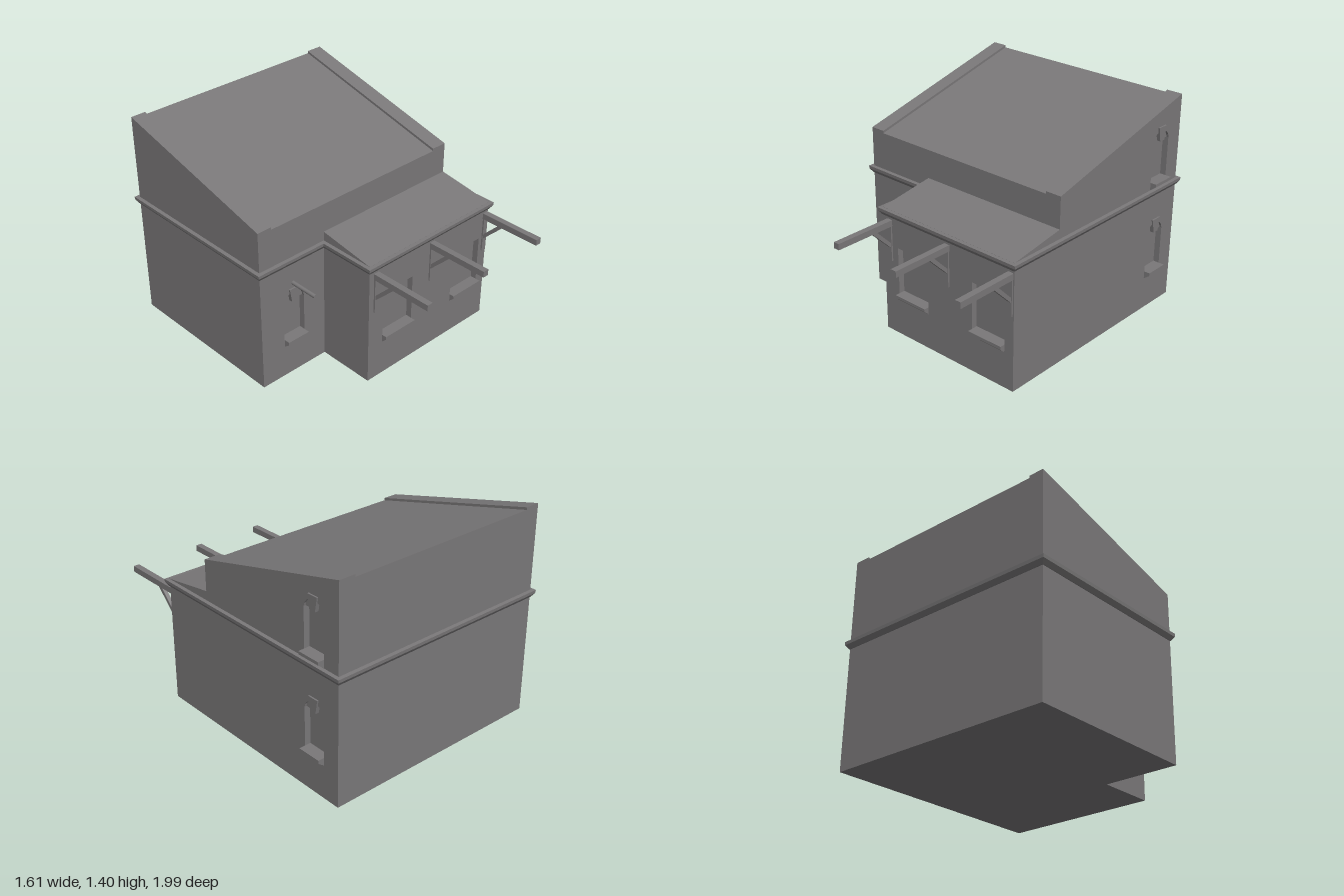
import * as THREE from 'three';

const stone = new THREE.MeshStandardMaterial({ color: 0x7a7879 });
stone.name = 'grey stone';

// Main dimensions
const L = -0.783, R = 0.758, BACK = -0.967, MID = 0.195, FRONT = 0.58, WING = -0.285;
const LOW = 0.8, DEEP = 0.04;

function add(parent, name, geometry, x = 0, y = 0, z = 0) {
  const mesh = new THREE.Mesh(geometry, stone);
  mesh.name = name;
  mesh.position.set(x, y, z);
  parent.add(mesh);
  return mesh;
}

const vecs = (pts) => pts.map(([x, y]) => new THREE.Vector2(x, y));

function extrude(pts, depth, holes = []) {
  const shape = new THREE.Shape(vecs(pts));
  for (const h of holes) shape.holes.push(new THREE.Path(vecs(h)));
  return new THREE.ExtrudeGeometry(shape, { depth, bevelEnabled: false });
}

// Extrudes a side profile, given as [z, y] points, from x0 to x1
function slab(parent, name, profile, x0, x1) {
  const g = extrude(profile.map(([z, y]) => [-z, y]), x1 - x0).rotateY(Math.PI / 2);
  return add(parent, name, g, x0);
}

function box(parent, name, w, h, d, x, y, z) {
  return add(parent, name, new THREE.BoxGeometry(w, h, d), x, y, z);
}

// Half-round arch from right to left
function arch(u, spring, r, rise) {
  const pts = [];
  for (let i = 0; i <= 10; i++) {
    const a = (i / 10) * Math.PI;
    pts.push([u + r * Math.cos(a), spring + rise * Math.sin(a)]);
  }
  return pts;
}

// Window openings: u = centre, y = underside of the sill
const squareHole = ({ u, y }) => [[u - 0.125, y], [u + 0.125, y], [u + 0.125, y + 0.36], [u - 0.125, y + 0.36]];
const archHole = ({ u, y }) => [[u - 0.08, y], [u + 0.08, y], ...arch(u, y + 0.305, 0.08, 0.065)];

// Sill with a sloping underside
function sill(wall, u, y, width, out) {
  const p = [[DEEP, y], [0, y], [-out, y + 0.03], [-out, y + 0.05], [DEEP, y + 0.05]];
  const g = extrude(p, width).rotateY(Math.PI / 2);
  add(wall, 'windowSill', g, u - width / 2);
}

// A wall panel facing local +z, with its recessed windows
function wallPanel(parent, name, outline, squares, arches) {
  const wall = new THREE.Group();
  wall.name = name;
  parent.add(wall);
  const holes = [...squares.map(squareHole), ...arches.map(archHole)];
  add(wall, 'wall', extrude(outline, DEEP, holes), 0, 0, -DEEP);
  for (const { u, y } of squares) sill(wall, u, y, 0.25, 0.033);
  for (const { u, y } of arches) {
    sill(wall, u, y, 0.16, 0.04);
    const spring = y + 0.305;
    add(wall, 'archInfill', extrude(arch(u, spring, 0.08, 0.065), 0.025), 0, 0, -DEEP);
    const key = [[u - 0.022, spring + 0.005], [u + 0.022, spring + 0.005], [u + 0.037, spring + 0.095], [u - 0.037, spring + 0.095]];
    add(wall, 'keystone', extrude(key, DEEP + 0.01), 0, 0, -DEEP);
  }
  return wall;
}

// Moulding swept round the L-shaped plan
function corniceGeometry() {
  const plan = [
    [L, BACK, -1, -1], [L, MID, -1, 1], [WING, MID, -1, 1],
    [WING, FRONT, -1, 1], [R, FRONT, 1, 1], [R, BACK, 1, -1],
  ];
  const profile = [[-0.01, 0.785], [0.003, 0.79], [0.022, 0.817], [0.024, 0.838], [-0.01, 0.84]];
  const pos = [];
  const at = (i, j) => {
    const [x, z, sx, sz] = plan[i % plan.length];
    const [o, y] = profile[j];
    return [x + sx * o, y, z + sz * o];
  };
  for (let i = 0; i < plan.length; i++) {
    for (let j = 0; j < profile.length - 1; j++) {
      const a = at(i, j), b = at(i + 1, j), c = at(i + 1, j + 1), d = at(i, j + 1);
      pos.push(...a, ...b, ...c, ...a, ...c, ...d);
    }
  }
  const g = new THREE.BufferGeometry();
  g.setAttribute('position', new THREE.Float32BufferAttribute(pos, 3));
  g.computeVertexNormals();
  return g;
}

// Projecting beam with wall post and diagonal brace
function beamBracket(parent, x) {
  const g = new THREE.Group();
  g.name = 'beamBracket';
  parent.add(g);
  box(g, 'beam', 0.04, 0.04, 1 - FRONT + 0.02, x, 0.755, (1 + FRONT - 0.02) / 2);
  box(g, 'post', 0.034, 0.24, 0.02, x, 0.62, FRONT);
  const brace = [[FRONT, 0.58], [FRONT, 0.612], [0.705, 0.74], [0.74, 0.74]];
  slab(g, 'brace', brace, x - 0.013, x + 0.013);
}

export function createModel() {
  const model = new THREE.Group();
  model.name = 'house';

  // Ground floor core, set back behind the windowed walls
  const inner = R - DEEP;
  const plan = [
    [L, BACK], [inner, BACK], [inner, FRONT - DEEP],
    [WING, FRONT - DEEP], [WING, MID - DEEP], [L, MID - DEEP],
  ];
  add(model, 'groundFloor', extrude(plan, LOW).rotateX(Math.PI / 2), 0, LOW);

  // Upper floor with a sloping roof between raised edges
  const upper = (drop) => [[BACK, LOW], [MID, LOW], [MID, 1.105 - drop], [BACK, 1.397 - drop]];
  slab(model, 'leftParapet', upper(0), L, -0.683);
  slab(model, 'mainRoof', upper(0.016), -0.683, 0.65);
  slab(model, 'rightParapet', upper(0), 0.65, inner);

  // Lean-to roof over the front wing
  slab(model, 'wingRoof', [[MID, LOW], [FRONT, LOW], [FRONT, 0.84], [MID, 0.9]], WING, inner);

  // Walls with windows
  const rect = (x0, x1) => [[x0, 0], [x1, 0], [x1, LOW], [x0, LOW]];
  wallPanel(model, 'wingFrontWall', rect(WING, inner), [{ u: -0.042, y: 0.24 }, { u: 0.565, y: 0.24 }], [])
    .position.z = FRONT;
  wallPanel(model, 'mainFrontWall', rect(L, WING), [], [{ u: -0.53, y: 0.22 }])
    .position.z = MID;
  const side = [
    [-FRONT, 0], [-BACK, 0], [-BACK, 1.397], [-MID, 1.105], [-MID, 0.9], [-FRONT, 0.84],
  ];
  const rightWall = wallPanel(model, 'sideWall', side, [], [{ u: 0.77, y: 0.22 }, { u: 0.77, y: 0.841 }]);
  rightWall.rotation.y = Math.PI / 2;
  rightWall.position.x = R;

  add(model, 'cornice', corniceGeometry());

  for (const x of [-0.23, 0.245, 0.733]) beamBracket(model, x);

  // Round pole above the arched front window
  const pole = new THREE.CylinderGeometry(0.013, 0.013, 0.21, 16).rotateX(Math.PI / 2);
  add(model, 'pole', pole, -0.532, 0.655, 0.285);

  return model;
}
